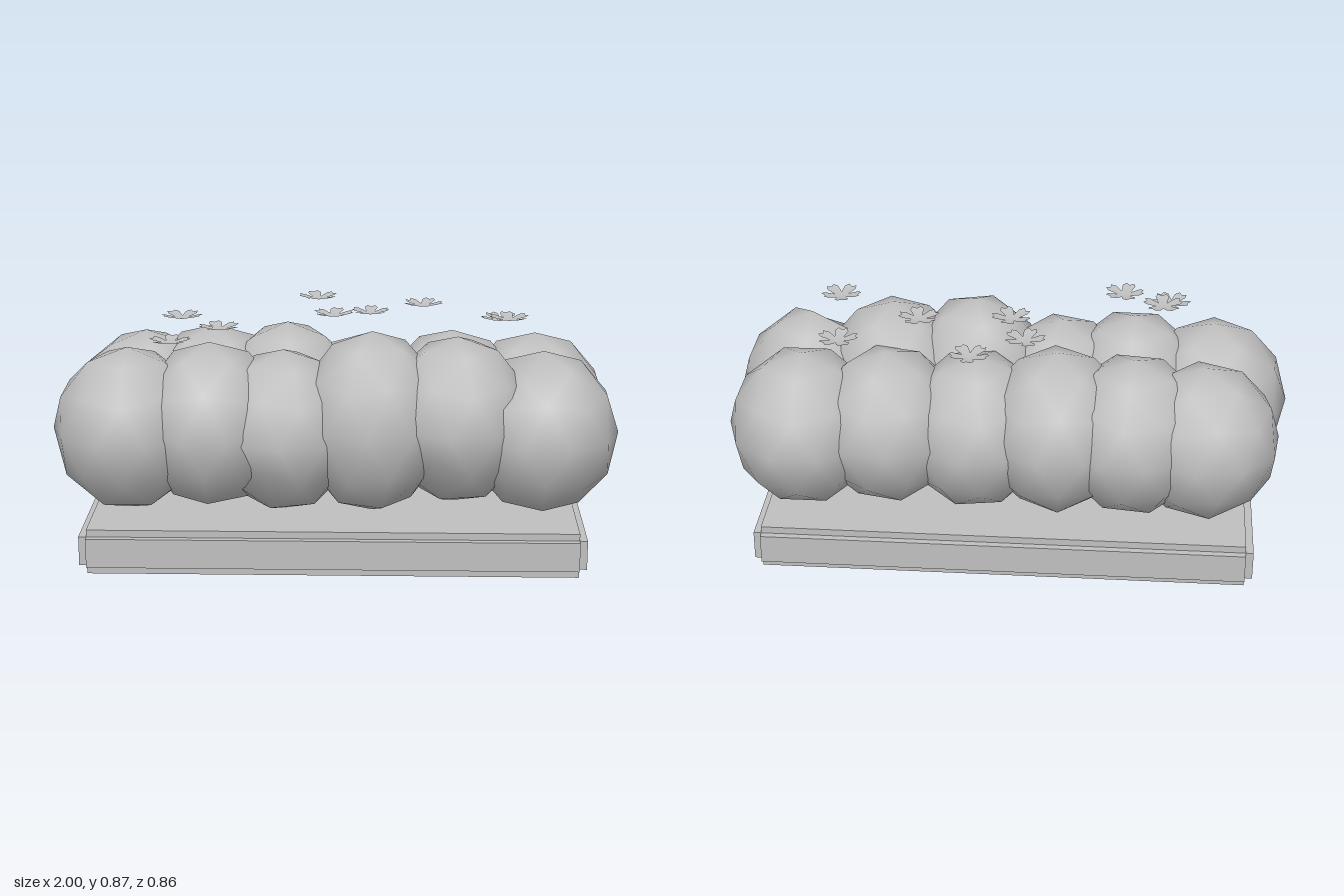
import * as THREE from 'three';

const grey = new THREE.MeshStandardMaterial({ color: 0xc0c0c0, side: THREE.DoubleSide });
grey.name = 'plain grey';

// Clump of foliage: coarse smooth icosphere with a vertex on top, optionally dented on one side
function makeClump([x, z, bottom, top, rx, rz, turn, dent]) {
  const geo = new THREE.IcosahedronGeometry(1, 1);
  geo.rotateX(-1.01722);
  geo.rotateY(turn);
  if (dent) {
    const dir = new THREE.Vector3(...dent).normalize();
    const pos = geo.attributes.position;
    const v = new THREE.Vector3();
    let best = -1;
    for (let i = 0; i < pos.count; i++) best = Math.max(best, v.fromBufferAttribute(pos, i).dot(dir));
    for (let i = 0; i < pos.count; i++) {
      v.fromBufferAttribute(pos, i);
      if (v.dot(dir) > best - 0.001) pos.setXYZ(i, v.x * 0.8, v.y * 0.8, v.z * 0.8);
    }
  }
  const ry = (top - bottom) / 2;
  geo.scale(rx, ry, rz);
  const mesh = new THREE.Mesh(geo, grey);
  mesh.name = 'hedgeClump';
  mesh.position.set(x, bottom + ry, z);
  return mesh;
}

// Five-petalled blossom: a disc with a petal outline, cupped upwards
function makeBlossomGeometry() {
  const outline = [0.36, 0.82, 1, 0.86, 1, 0.82];
  const geo = new THREE.CircleGeometry(1, 30);
  const pos = geo.attributes.position;
  for (let i = 1; i < pos.count; i++) {
    const r = outline[(i - 1) % 6];
    pos.setXYZ(i, pos.getX(i) * r * 0.072, pos.getY(i) * r * 0.072, 0.018 * r);
  }
  geo.rotateX(-Math.PI / 2);
  geo.computeVertexNormals();
  return geo;
}

export function createModel() {
  const model = new THREE.Group();
  model.name = 'floweringHedge';

  // Planter base: three crossed boxes give stepped edges
  const base = new THREE.Group();
  base.name = 'base';
  const slabs = [[1.77, 0.105, 0.79], [1.715, 0.16, 0.79], [1.715, 0.105, 0.84]];
  for (const [w, h, d] of slabs) {
    const slab = new THREE.Mesh(new THREE.BoxGeometry(w, h, d), grey);
    slab.name = 'baseSlab';
    slab.position.set(-0.003, h > 0.15 ? 0.08 : 0.0825, 0.01);
    base.add(slab);
  }
  model.add(base);

  // Hedge: two rows of six clumps: x, z, bottom, top, x radius, z radius, turn, dent direction
  const hedge = new THREE.Group();
  hedge.name = 'hedge';
  const clumps = [
    [-0.73, 0.16, 0.165, 0.755, 0.27, 0.27, 0],
    [-0.44, 0.16, 0.18, 0.775, 0.265, 0.27, 0.6],
    [-0.18, 0.16, 0.165, 0.75, 0.26, 0.27, 0.3, [-0.2, -0.4, 0.9]],
    [0.13, 0.17, 0.165, 0.82, 0.265, 0.26, 0.9],
    [0.43, 0.16, 0.2, 0.8, 0.265, 0.27, 0.2, [-0.3, -0.4, 0.9]],
    [0.73, 0.16, 0.165, 0.75, 0.27, 0.27, 0.63, [-0.4, 0.85, 0.2]],
    [-0.70, -0.16, 0.17, 0.74, 0.27, 0.26, 0.2, [-0.1, 0.6, 0.8]],
    [-0.45, -0.16, 0.18, 0.76, 0.27, 0.275, 0.5, [0, 0.5, 0.85]],
    [-0.18, -0.15, 0.17, 0.775, 0.265, 0.28, 0.1, [0.2, 0.5, 0.8]],
    [0.11, -0.13, 0.165, 0.74, 0.265, 0.27, 0.8],
    [0.42, -0.14, 0.18, 0.75, 0.265, 0.27, 0.4],
    [0.72, -0.15, 0.165, 0.74, 0.27, 0.28, 0.63],
  ];
  for (const clump of clumps) hedge.add(makeClump(clump));
  model.add(hedge);

  // Blossoms hovering over the hedge: x, centre height, z
  const blossoms = new THREE.Group();
  blossoms.name = 'blossoms';
  const blossomGeo = makeBlossomGeometry();
  const places = [
    [-0.07, 0.845, -0.21], [0.12, 0.785, -0.23], [0.31, 0.85, -0.08],
    [0.59, 0.785, -0.14], [0.61, 0.843, 0.1], [-0.01, 0.828, -0.01],
    [-0.54, 0.843, 0.1], [-0.4, 0.83, 0.21], [-0.57, 0.787, 0.24],
  ];
  places.forEach(([x, y, z], i) => {
    const blossom = new THREE.Mesh(blossomGeo, grey);
    blossom.name = 'blossom';
    blossom.position.set(x, y, z);
    blossom.rotation.y = i * 0.9;
    blossoms.add(blossom);
  });
  model.add(blossoms);

  return model;
}
